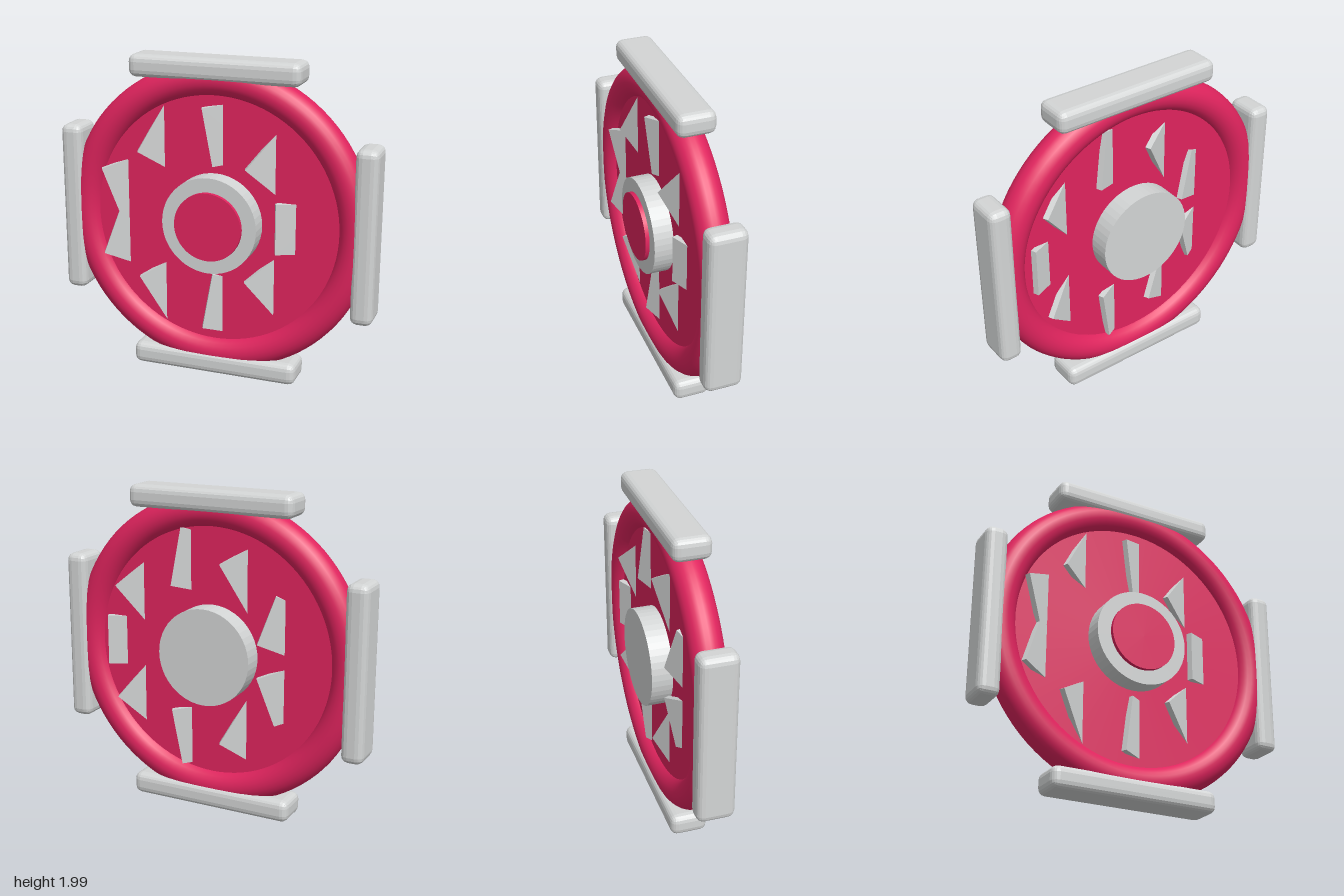
import * as THREE from 'three';
import { RoundedBoxGeometry } from 'three/addons/geometries/RoundedBoxGeometry.js';

export function createModel() {
  const model = new THREE.Group();
  const red = new THREE.MeshStandardMaterial({ color: 0xe0245e });
  red.name = 'red';
  const grey = new THREE.MeshStandardMaterial({ color: 0xd3d5d5 });
  grey.name = 'light grey';
  grey.flatShading = true;
  const greySmooth = grey; // one grey for every metal part

  const CY = 1.003; // height of the wheel centre
  const CZ = -0.01; // depth of the wheel centre

  function add(name, geometry, material, x, y, z) {
    const mesh = new THREE.Mesh(geometry, material);
    mesh.name = name;
    mesh.position.set(x, y, z);
    model.add(mesh);
    return mesh;
  }

  // Disc between two z planes, facing front and back
  function disc(name, radius, z0, z1, material, sides) {
    const geometry = new THREE.CylinderGeometry(radius, radius, z1 - z0, sides).rotateX(Math.PI / 2);
    return add(name, geometry, material, 0, CY, (z0 + z1) / 2);
  }

  // Rim and web of the wheel
  add('rim', new THREE.TorusGeometry(0.865, 0.1, 24, 96), red, 0, CY, CZ);
  disc('web', 0.82, CZ - 0.04, CZ + 0.04, red, 96);

  // Hub with a coloured cap on the front only
  disc('hub', 0.3, -0.18, 0.15, greySmooth, 48);
  disc('hubCap', 0.212, 0.14, 0.175, red, 48);

  // Nine tilted blades that pass through the web
  const bladeGeometry = new THREE.BoxGeometry(0.362, 0.314, 0.036);
  for (let i = 0; i < 9; i++) {
    const angle = (i * Math.PI * 2) / 9;
    const blade = add('blade', bladeGeometry, grey,
      0.557 * Math.cos(angle), CY + 0.557 * Math.sin(angle), CZ);
    blade.rotation.set(0, 0.4, -angle);
  }

  // Four bevelled pads around the rim
  const padGeometry = new RoundedBoxGeometry(1.07, 0.138, 0.23, 2, 0.045);
  for (let i = 0; i < 4; i++) {
    const angle = (i * Math.PI) / 2;
    const pad = add('pad', padGeometry, grey,
      -0.931 * Math.sin(angle), CY + 0.928 * Math.cos(angle), -0.014);
    pad.rotation.z = angle;
  }

  return model;
}
